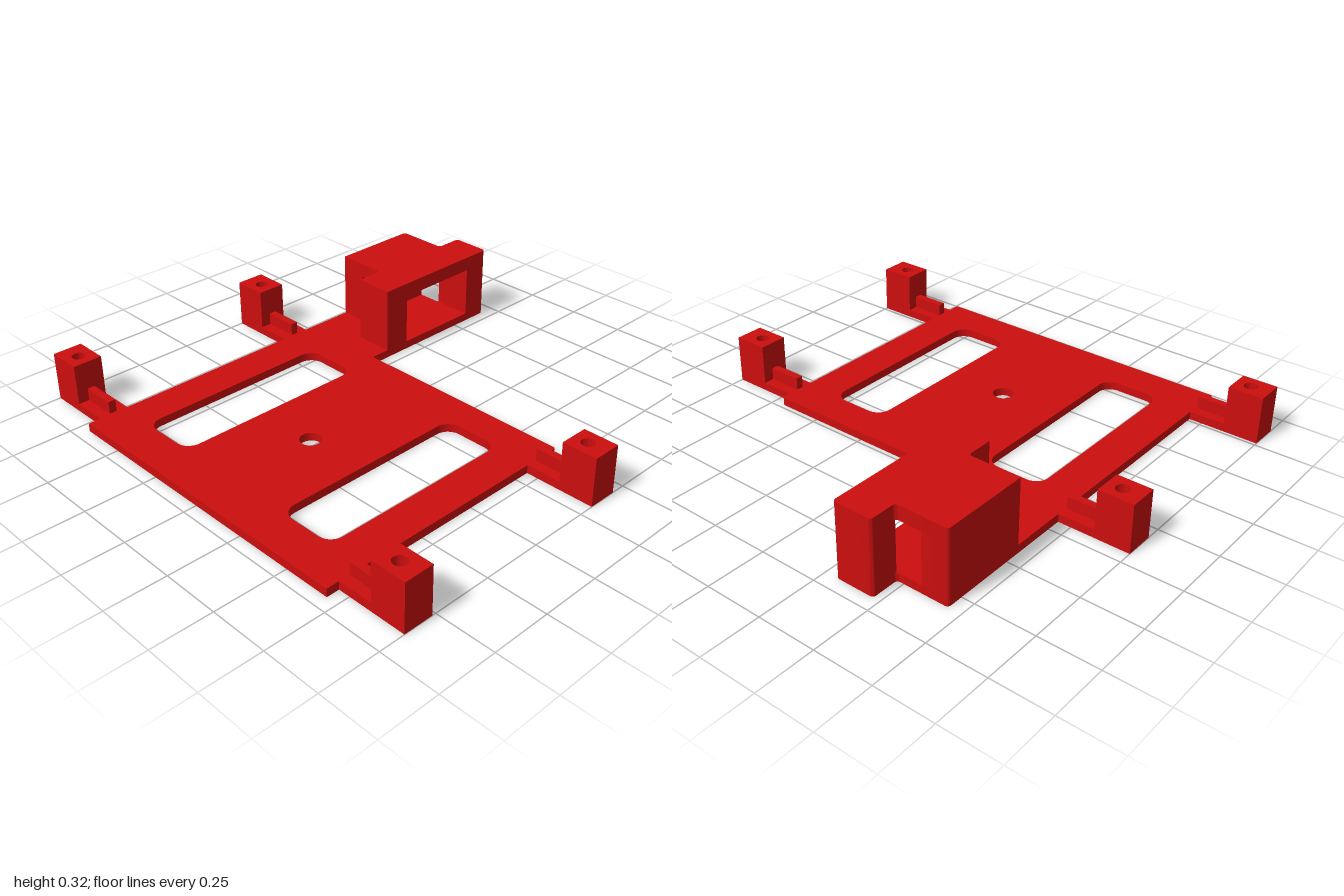
import * as THREE from 'three';
import { toCreasedNormals } from 'three/addons/utils/BufferGeometryUtils.js';

const red = new THREE.MeshStandardMaterial({ color: 0xcc0e0e });
const PLATE = 0.035;

// Closed outline from [x, z, cornerRadius] points
function outline(points, Type = THREE.Shape) {
  const path = new Type();
  const n = points.length;
  points.forEach(([x, z, r = 0], i) => {
    const p = new THREE.Vector2(x, -z);
    const toward = (q) => new THREE.Vector2(q[0], -q[1]).sub(p).setLength(r).add(p);
    const a = toward(points[(i + n - 1) % n]);
    const b = toward(points[(i + 1) % n]);
    if (i === 0) path.moveTo(a.x, a.y);
    else path.lineTo(a.x, a.y);
    if (r) {
      // Cubic handles approximating a quarter circle
      const c = a.clone().lerp(p, 0.5523);
      const d = b.clone().lerp(p, 0.5523);
      path.bezierCurveTo(c.x, c.y, d.x, d.y, b.x, b.y);
    }
  });
  path.closePath();
  return path;
}

const rect = (x0, x1, z0, z1, r = 0, Type = THREE.Shape) =>
  outline([[x0, z0, r], [x0, z1, r], [x1, z1, r], [x1, z0, r]], Type);

const roundHole = (x, z, r) => new THREE.Path().absarc(x, -z, r, 0, Math.PI * 2, true);

// Raises a plan outline from y0 to y1
function slab(name, shape, y0, y1, holes = []) {
  shape.holes.push(...holes);
  let geo = new THREE.ExtrudeGeometry(shape, { depth: y1 - y0, bevelEnabled: false, curveSegments: 12 });
  geo.rotateX(-Math.PI / 2).translate(0, y0, 0);
  geo = toCreasedNormals(geo, 0.6);
  const mesh = new THREE.Mesh(geo, red);
  mesh.name = name;
  return mesh;
}

export function createModel() {
  const model = new THREE.Group();
  model.name = 'mountingBracket';

  // Base plate with two slots and a centre hole; it runs on as the housing floor
  const r = 0.015;
  const plateShape = outline([
    [-0.945, -0.695], [-0.945, 0.7], [0.23, 0.7, 0.01], [0.23, -0.3],
    [0.94, -0.3, r], [0.94, -0.47, r], [0.82, -0.47, r], [0.82, -0.695, r],
  ]);
  model.add(slab('basePlate', plateShape, 0, PLATE, [
    rect(-0.78, 0.08, -0.53, -0.275, 0.06, THREE.Path),
    rect(-0.78, 0.08, 0.28, 0.535, 0.06, THREE.Path),
    roundHole(-0.395, 0, 0.045),
  ]));

  // Four mounting legs: flat arm, stiffening rib and drilled post
  for (const side of [-1, 1]) {
    for (const x of [-0.828, 0.127]) {
      const leg = new THREE.Group();
      leg.name = `${side > 0 ? 'front' : 'back'}${x > 0 ? 'Left' : 'Right'}Leg`;
      const span = (w, a, b) => rect(x - w, x + w, Math.min(side * a, side * b), Math.max(side * a, side * b));
      leg.add(slab('arm', span(0.063, 0.695, 0.85), 0, PLATE));
      leg.add(slab('rib', span(0.016, 0.7, 0.85), PLATE, 0.088));
      leg.add(slab('post', span(0.063, 0.85, 1), 0, 0.207, [roundHole(x, side * 0.915, 0.028)]));
      model.add(leg);
    }
  }

  // Housing: two front pillars and a thick back wall carry a stepped roof
  const housing = new THREE.Group();
  housing.name = 'housing';
  const WALL = 0.255;
  housing.add(
    slab('rightPillar', rect(0.317, 0.435, -0.47, -0.3), PLATE, WALL),
    slab('leftPillar', outline([[0.822, -0.47], [0.822, -0.3], [0.94, -0.3, r], [0.94, -0.47, r]]), PLATE, WALL),
    slab('backWall', outline([[0.435, -0.695], [0.435, -0.58], [0.82, -0.58], [0.82, -0.695, r]]), PLATE, WALL),
    slab('roof', outline([
      [0.317, -0.47], [0.317, -0.3], [0.94, -0.3, r], [0.94, -0.47, r],
      [0.82, -0.47, r], [0.82, -0.695, r], [0.435, -0.695], [0.435, -0.47, r],
    ]), WALL, 0.317),
  );
  model.add(housing);
  return model;
}
